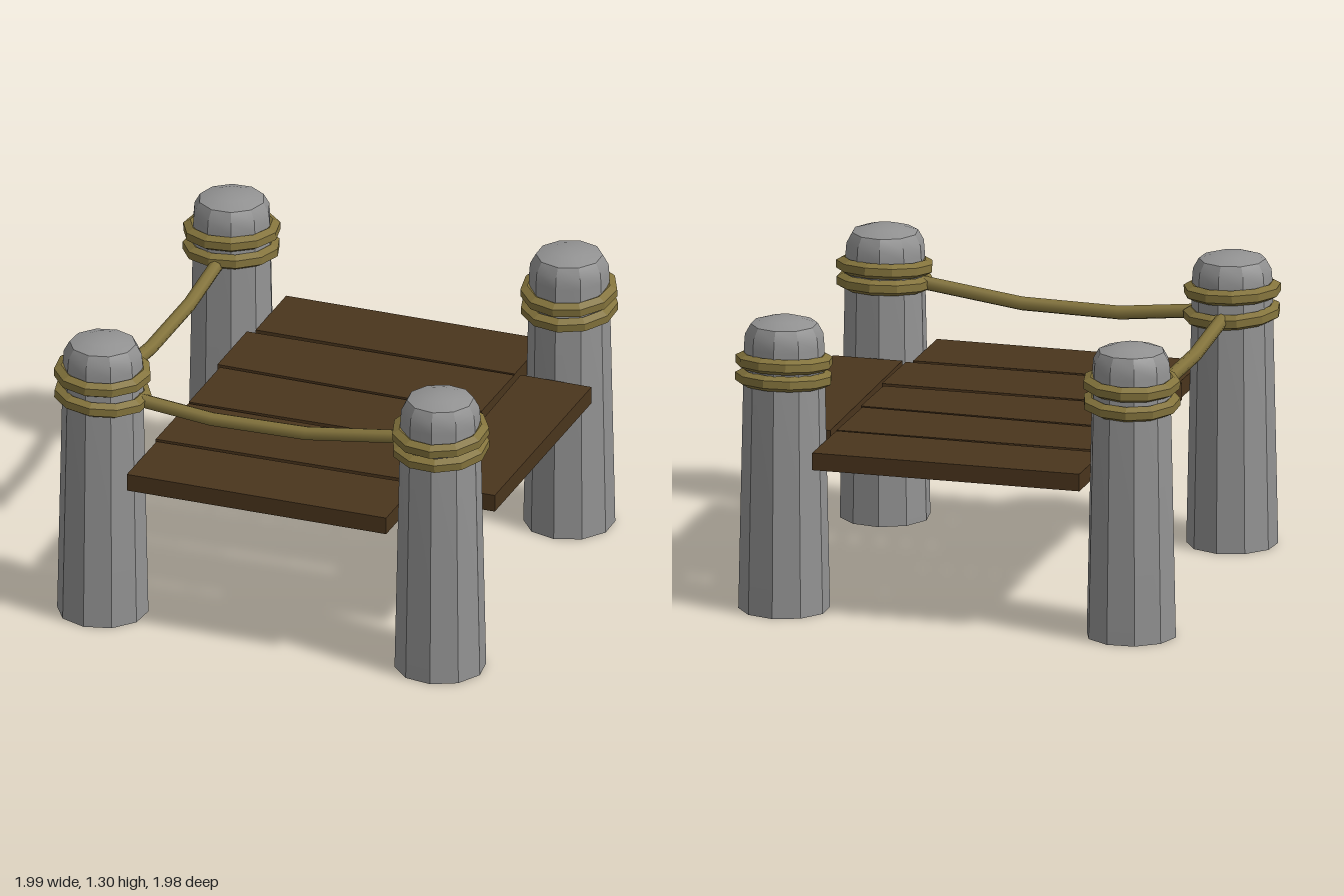
import * as THREE from 'three';
import { toCreasedNormals } from 'three/addons/utils/BufferGeometryUtils.js';

const V = (x, y, z) => new THREE.Vector3(x, y, z);

// Ten-sided post with faceted sides and a soft domed top
function post(spin) {
  const profile = [[0, 0], [0.199, 0], [0.174, 1.18], [0.17, 1.23], [0.145, 1.275], [0.08, 1.296], [0, 1.303]]
    .map(([r, y]) => new THREE.Vector2(r, y));
  return toCreasedNormals(new THREE.LatheGeometry(profile, 10, spin), 0.5);
}

// Rope coil: a six-sided section with its flat side outwards, swept round the post
function coilRing(spin) {
  const profile = [];
  for (let i = 0; i <= 6; i++) {
    const a = (i - 0.5) * Math.PI / 3;
    profile.push(new THREE.Vector2(0.181 + 0.036 * Math.cos(a), 0.034 * Math.sin(a)));
  }
  return new THREE.LatheGeometry(profile, 11, spin);
}

// Flat board from four plan corners: [x, z] pairs
function plank(corners) {
  const shape = new THREE.Shape(corners.map(([x, z]) => new THREE.Vector2(x, -z)));
  const g = new THREE.ExtrudeGeometry(shape, { depth: 0.077, bevelEnabled: false });
  return g.rotateX(-Math.PI / 2).translate(0, 0.678, 0);
}

// Rope made of straight sections between the given points
function sagRope(points) {
  const curve = new THREE.CatmullRomCurve3(points, false, 'catmullrom', 0);
  curve.getPointAt = (t) => curve.getPoint(t);
  curve.getTangentAt = (t) => curve.getTangent(t);
  return new THREE.TubeGeometry(curve, points.length - 1, 0.031, 8, false);
}

export function createModel() {
  const model = new THREE.Group();
  const stone = new THREE.MeshStandardMaterial({ color: 0x929292 });
  const wood = new THREE.MeshStandardMaterial({ color: 0x4a351d });
  const hemp = new THREE.MeshStandardMaterial({ color: 0x83733c, flatShading: true });
  const softHemp = new THREE.MeshStandardMaterial({ color: 0x83733c });
  const add = (parent, name, geometry, material) => {
    const mesh = new THREE.Mesh(geometry, material);
    mesh.name = name;
    parent.add(mesh);
    return mesh;
  };

  // Posts, each with two slightly tilted rope coils [height, slope along x, slope along z]
  const posts = [
    { name: 'frontRightPost', x: -0.785, z: 0.775, spin: 0.56, coils: [[1.137, -0.03, -0.03], [1.035, -0.06, 0.02]] },
    { name: 'frontLeftPost', x: 0.78, z: 0.778, spin: 0.14, coils: [[1.123, 0, -0.1], [1.053, 0, -0.08]] },
    { name: 'backRightPost', x: -0.785, z: -0.78, spin: 0.35, coils: [[1.13, 0.03, 0.04], [1.045, 0.02, 0.05]] },
    { name: 'backLeftPost', x: 0.78, z: -0.778, spin: 0.02, coils: [[1.107, 0, -0.1], [1.033, 0, -0.09]] },
  ];
  for (const { name, x, z, spin, coils } of posts) {
    const group = new THREE.Group();
    group.name = name;
    group.position.set(x, 0, z);
    add(group, 'post', post(spin), stone);
    coils.forEach(([y, slopeX, slopeZ], i) => {
      const coil = add(group, 'ropeCoil', coilRing(spin + i * 0.1), hemp);
      coil.position.y = y;
      coil.rotation.set(-slopeZ, 0, slopeX);
    });
    model.add(group);
  }

  // Deck boards, slightly askew
  const deck = new THREE.Group();
  deck.name = 'deck';
  const boards = [
    [[-0.605, -0.968], [0.6, -0.962], [0.6, -0.588], [-0.605, -0.6]],
    [[-0.635, -0.572], [0.602, -0.577], [0.6, -0.187], [-0.635, -0.217]],
    [[-0.615, -0.195], [0.612, -0.172], [0.61, 0.168], [-0.615, 0.18]],
    [[-0.613, 0.194], [0.627, 0.204], [0.625, 0.568], [-0.615, 0.58]],
    [[-0.603, 0.6], [0.6, 0.594], [0.6, 0.963], [-0.605, 0.955]],
    [[0.627, -0.59], [0.957, -0.585], [0.957, 0.582], [0.645, 0.582]],
  ];
  boards.forEach((corners, i) => add(deck, i < 5 ? 'crossPlank' : 'sidePlank', plank(corners), wood));
  model.add(deck);

  // Sagging ropes along the front and the right side
  add(model, 'frontRope', sagRope([
    V(-0.7, 1.037, 0.77), V(-0.28, 0.993, 0.77), V(0.16, 1.0, 0.77), V(0.57, 1.055, 0.77), V(0.7, 1.07, 0.77),
  ]), softHemp);
  add(model, 'sideRope', sagRope([
    V(-0.785, 1.055, 0.7), V(-0.785, 1.035, 0.57), V(-0.785, 0.994, 0.2), V(-0.785, 0.994, -0.27), V(-0.785, 1.05, -0.7),
  ]), softHemp);

  return model;
}
